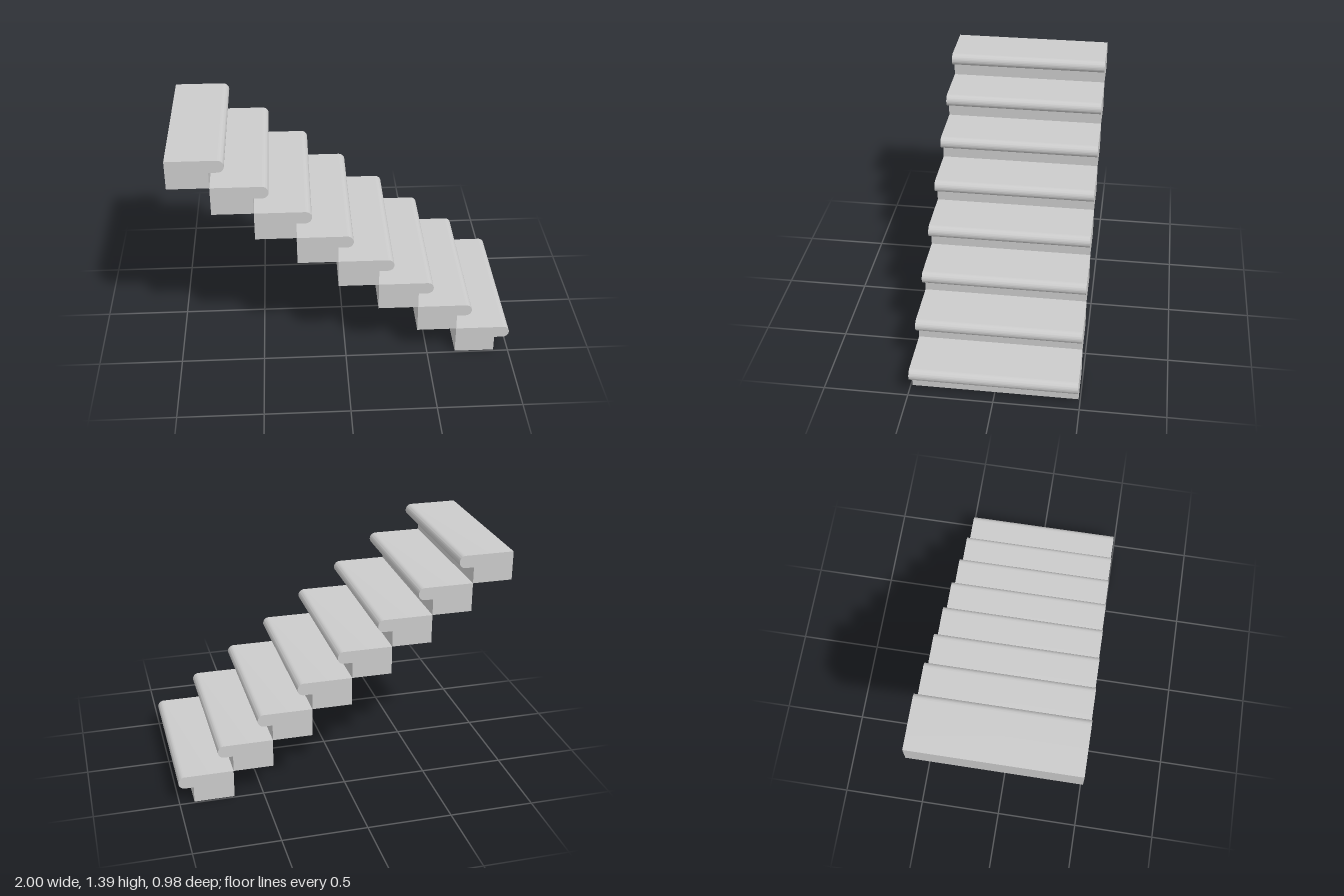
import * as THREE from 'three';
import { toCreasedNormals } from 'three/addons/utils/BufferGeometryUtils.js';

const STEPS = 8;
const RISE = 0.1735;
const RUN = 0.239;
const LENGTH = 0.327; // body plus overhanging nosing
const NOSE_RADIUS = 0.0375;
const WIDTH = 0.98;

// Side profile of one step: solid block with a bullnose tread overhang
function stepGeometry() {
  const noseX = LENGTH - NOSE_RADIUS;
  const profile = new THREE.Shape();
  profile.moveTo(0, 0);
  profile.lineTo(RUN, 0);
  profile.lineTo(RUN, RISE - 2 * NOSE_RADIUS);
  profile.lineTo(noseX, RISE - 2 * NOSE_RADIUS);
  profile.absarc(noseX, RISE - NOSE_RADIUS, NOSE_RADIUS, -Math.PI / 2, Math.PI / 2, false);
  profile.lineTo(0, RISE);
  profile.closePath();

  const geometry = new THREE.ExtrudeGeometry(profile, { depth: WIDTH, bevelEnabled: false, curveSegments: 20 });
  geometry.translate(0, 0, -WIDTH / 2);
  return toCreasedNormals(geometry, 0.6);
}

export function createModel() {
  const staircase = new THREE.Group();
  staircase.name = 'staircase';
  const material = new THREE.MeshStandardMaterial({ color: 0xcccccc });
  const geometry = stepGeometry();

  // Flight descends from left to right, each step meeting the next at a corner
  for (let i = 0; i < STEPS; i++) {
    const step = new THREE.Mesh(geometry, material);
    step.name = `step${i + 1}`;
    step.position.set(1 - LENGTH - i * RUN, i * RISE, 0);
    staircase.add(step);
  }
  return staircase;
}
